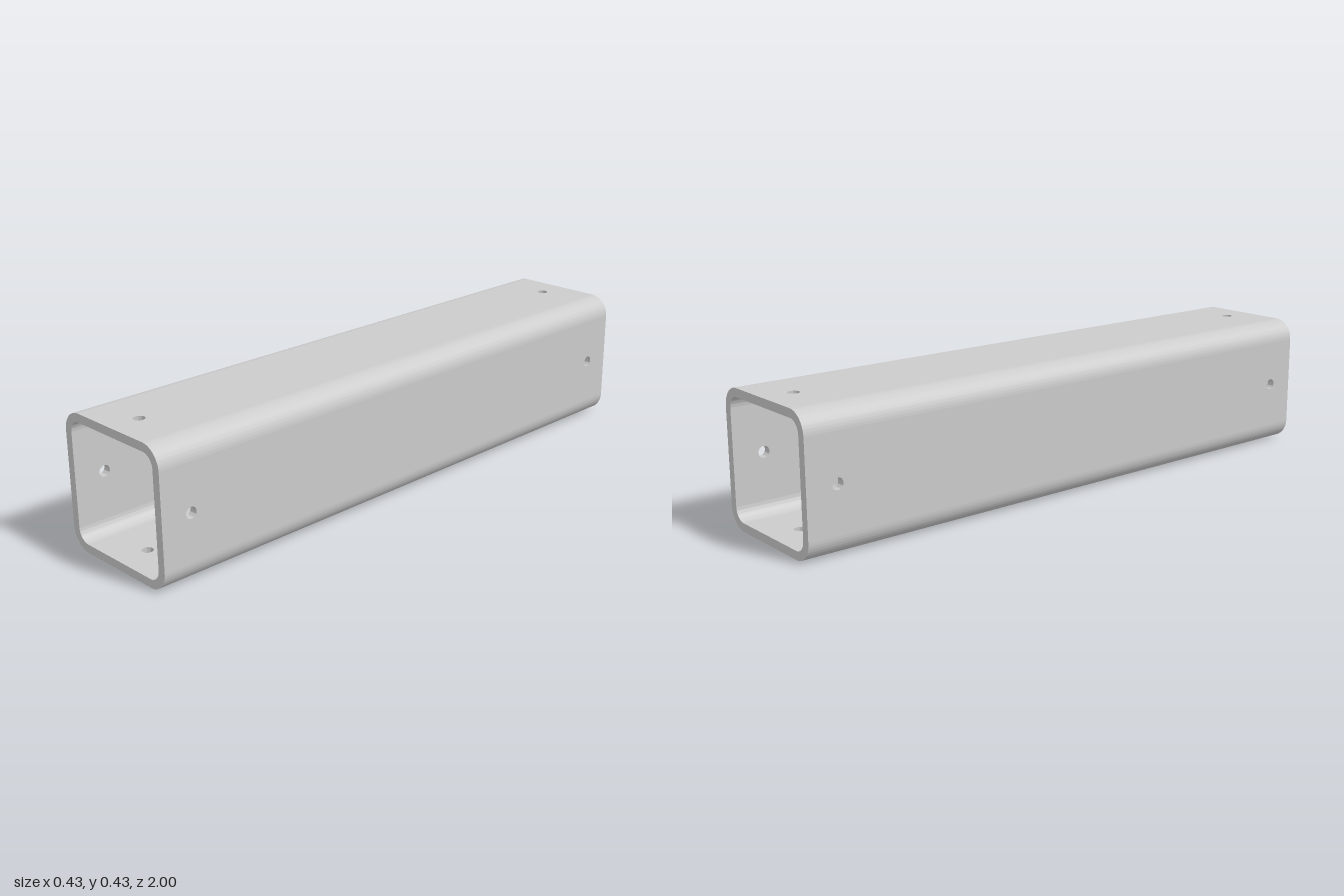
import * as THREE from 'three';
import { toCreasedNormals } from 'three/addons/utils/BufferGeometryUtils.js';

const HALF = 0.2165;      // half of the outer width
const WALL = 0.027;       // wall thickness
const RADIUS = 0.067;     // outer corner radius
const FLAT = HALF - RADIUS; // half width of each flat wall
const HOLE = 0.018;       // bolt hole radius
const HOLE_Z = 0.9;       // bolt hole distance from the middle

// Drops the faces where a wall joins its neighbouring corners
function openLongEdges(geometry) {
  const p = geometry.attributes.position;
  const kept = [];
  for (let i = 0; i < p.count; i += 3) {
    const joint = [0, 1, 2].every(
      (k) => Math.abs(Math.abs(p.getX(i + k)) - FLAT) < 1e-5
    ) && Math.abs(p.getX(i) - p.getX(i + 1)) < 1e-5
      && Math.abs(p.getX(i) - p.getX(i + 2)) < 1e-5;
    if (joint) continue;
    for (let k = 0; k < 3; k++) kept.push(p.getX(i + k), p.getY(i + k), p.getZ(i + k));
  }
  const open = new THREE.BufferGeometry();
  open.setAttribute('position', new THREE.Float32BufferAttribute(kept, 3));
  return open;
}

// Flat wall with a bolt hole near each end, lying at the top of the tube
function wallGeometry() {
  const shape = new THREE.Shape();
  shape.moveTo(-FLAT, -1).lineTo(FLAT, -1).lineTo(FLAT, 1).lineTo(-FLAT, 1).closePath();
  for (const y of [-HOLE_Z, HOLE_Z]) {
    shape.holes.push(new THREE.Path().absarc(0, y, HOLE, 0, Math.PI * 2, true));
  }
  const plate = new THREE.ExtrudeGeometry(shape, {
    depth: WALL, bevelEnabled: false, curveSegments: 16,
  });
  const geometry = openLongEdges(plate);
  geometry.rotateX(-Math.PI / 2).translate(0, HALF - WALL, 0);
  return toCreasedNormals(geometry, Math.PI / 6);
}

// Quarter-round corner running the full length
function cornerGeometry() {
  const inner = RADIUS - WALL;
  const profile = [[inner, -1], [RADIUS, -1], [RADIUS, 1], [inner, 1], [inner, -1]]
    .map(([x, y]) => new THREE.Vector2(x, y));
  const geometry = new THREE.LatheGeometry(profile, 24, 0, Math.PI / 2);
  geometry.rotateX(Math.PI / 2).translate(FLAT, -FLAT, 0);
  return toCreasedNormals(geometry, Math.PI / 6);
}

export function createModel() {
  const model = new THREE.Group();
  model.name = 'squareTube';
  const material = new THREE.MeshStandardMaterial({ color: 0xcccccc });
  const wall = wallGeometry();
  const corner = cornerGeometry();

  // Four walls and four corners around the tube axis
  const wallNames = ['topWall', 'rightWall', 'bottomWall', 'leftWall'];
  const cornerNames = ['bottomLeftCorner', 'topLeftCorner', 'topRightCorner', 'bottomRightCorner'];
  for (let k = 0; k < 4; k++) {
    for (const [geometry, name] of [[wall, wallNames[k]], [corner, cornerNames[k]]]) {
      const mesh = new THREE.Mesh(geometry, material);
      mesh.name = name;
      mesh.position.y = HALF;
      mesh.rotation.z = k * Math.PI / 2;
      model.add(mesh);
    }
  }
  return model;
}
